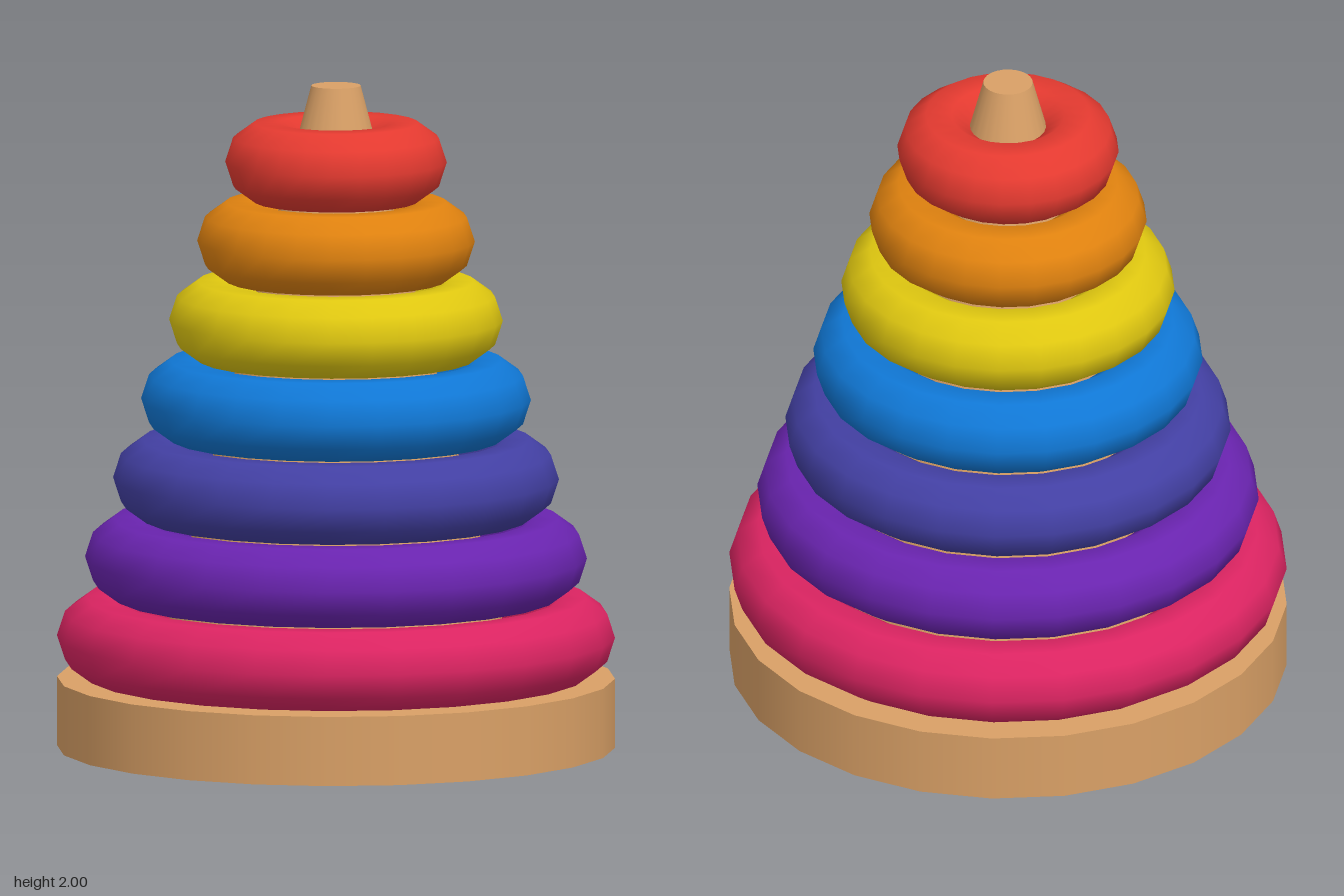
import * as THREE from 'three';

const SIDES = 24;

function material(name, color) {
  const m = new THREE.MeshStandardMaterial({ color });
  m.name = name;
  return m;
}

export function createModel() {
  const group = new THREE.Group();
  group.name = 'stackingRings';

  const add = (name, geometry, mat, y) => {
    const mesh = new THREE.Mesh(geometry, mat);
    mesh.name = name;
    mesh.position.y = y;
    group.add(mesh);
  };

  // Wooden base disc and tapered peg
  const wood = material('wood', 0xd9a066);
  const baseHeight = 0.209;
  add('base', new THREE.CylinderGeometry(0.836, 0.836, baseHeight, SIDES), wood, baseHeight / 2);
  const pegHeight = 2 - baseHeight;
  add('peg', new THREE.CylinderGeometry(0.074, 0.545, pegHeight, SIDES), wood, baseHeight + pegHeight / 2);

  // Rings from the largest at the bottom to the smallest at the top
  const colors = [
    ['pink', 0xdc2462],
    ['purple', 0x6a24b0],
    ['indigo', 0x4340a4],
    ['blue', 0x1078d6],
    ['yellow', 0xe0c810],
    ['orange', 0xe0820f],
    ['red', 0xe53a30],
  ];
  const tube = 0.1245;
  colors.forEach(([name, color], i) => {
    const outer = 0.836 - i * 0.084;
    const ring = new THREE.TorusGeometry(outer - tube, tube, 10, SIDES);
    ring.rotateX(-Math.PI / 2);
    add(name + 'Ring', ring, material(name, color), 0.333 + i * 0.2393);
  });

  return group;
}
